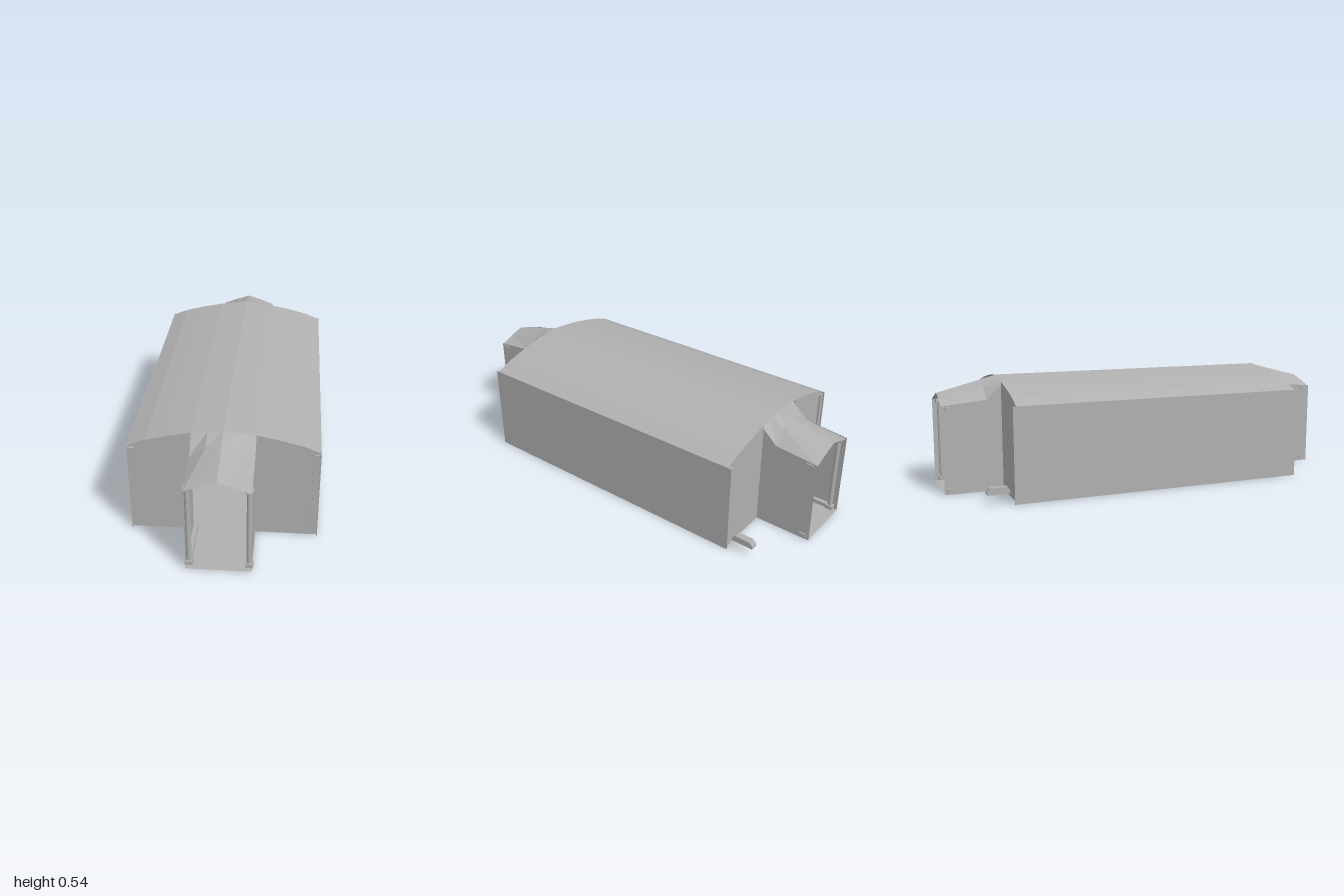
import * as THREE from 'three';

export function createModel() {
  const model = new THREE.Group();
  model.name = 'vaultedHall';
  const grey = new THREE.MeshStandardMaterial({ color: 0xb0b0b0, side: THREE.DoubleSide, flatShading: true });
  grey.name = 'stoneGrey';

  const add = (name, geometry, parent = model) => {
    const mesh = new THREE.Mesh(geometry, grey);
    mesh.name = name;
    parent.add(mesh);
    return mesh;
  };
  const box = (name, w, h, d, x, y, z, parent) =>
    add(name, new THREE.BoxGeometry(w, h, d), parent).position.set(x, y, z);

  // Skin a list of equal-length cross-sections of [x, y, z] points
  const skin = (rows) => {
    const n = rows[0].length, index = [];
    for (let r = 0; r < rows.length - 1; r++) {
      for (let i = 0; i < n - 1; i++) {
        const a = r * n + i, b = a + n;
        index.push(a, b, a + 1, a + 1, b, b + 1);
      }
    }
    const g = new THREE.BufferGeometry();
    g.setAttribute('position', new THREE.Float32BufferAttribute(rows.flat(2), 3));
    g.setIndex(index);
    const flat = g.toNonIndexed();
    flat.computeVertexNormals();
    return flat;
  };
  // Mirror a half profile (centre to eave) across x = 0
  const arch = (half, z) => [
    ...half.slice(1).reverse().map(([x, y]) => [-x, y, z]),
    ...half.map(([x, y]) => [x, y, z]),
  ];

  const halfW = 0.425, hallZ = 0.72, doorX = 0.143;
  const roofHalf = [[0, 0.54], [0.143, 0.523], [0.25, 0.501], [0.35, 0.476], [halfW, 0.445]];

  // Main hall: roof, side walls and floor
  add('hallRoof', skin([arch(roofHalf, -hallZ), arch(roofHalf, hallZ)]));
  add('floor', new THREE.PlaneGeometry(halfW * 2, hallZ * 2).rotateX(-Math.PI / 2)).position.y = 0.004;
  for (const s of [1, -1]) {
    box('sideWall', 0.004, 0.445, 1.47, s * halfW, 0.2225, 0);
  }

  // End wall beside the doorway, following the roof curve
  const endShape = new THREE.Shape();
  endShape.moveTo(doorX, 0);
  roofHalf.slice(1).forEach(([x, y]) => endShape.lineTo(x, y));
  endShape.lineTo(halfW, 0);
  endShape.closePath();
  const endWall = new THREE.ShapeGeometry(endShape);

  // Side wall of the entrance, rising to the hall roof at its inner end
  const sideShape = new THREE.Shape();
  [[0.71, 0], [1, 0], [1, 0.42], [0.79, 0.44], [0.71, 0.512]]
    .forEach(([z, y], i) => (i ? sideShape.lineTo(z, y) : sideShape.moveTo(z, y)));
  const sideGeo = new THREE.ShapeGeometry(sideShape).rotateY(-Math.PI / 2);

  const buildEnd = (name) => {
    const end = new THREE.Group();
    end.name = name;

    // Sloping entrance roof
    add('entranceRoof', skin([
      arch([[0, 0.54], [0.07, 0.528], [doorX, 0.512]], 0.71),
      arch([[0, 0.519], [0.07, 0.494], [doorX, 0.44]], 0.79),
      arch([[0, 0.465], [0.07, 0.443], [doorX, 0.415]], 1),
    ]), end);
    add('entranceFloor', new THREE.PlaneGeometry(doorX * 2, 0.28).rotateX(-Math.PI / 2), end)
      .position.set(0, 0.004, 0.86);

    for (const s of [1, -1]) {
      const wall = add('endWall', endWall, end);
      wall.position.z = hallZ;
      wall.scale.x = s;
      add('entranceWall', sideGeo, end).position.x = s * doorX;

      // Corner post
      box('cornerPost', 0.022, 0.425, 0.012, s * 0.408, 0.225, 0.724, end);

      // Column with base and capital
      add('columnShaft', new THREE.CylinderGeometry(0.012, 0.012, 0.38, 10), end)
        .position.set(s * 0.131, 0.21, 0.967);
      box('columnBase', 0.035, 0.02, 0.035, s * 0.132, 0.02, 0.967, end);
      box('columnCapital', 0.035, 0.015, 0.035, s * 0.132, 0.408, 0.967, end);

      // Low skirting along the passage
      box('skirting', 0.02, 0.02, 0.24, s * 0.131, 0.02, 0.84, end);
    }
    model.add(end);
    return end;
  };
  buildEnd('frontEntrance');
  buildEnd('backEntrance').rotation.y = Math.PI;

  // Detached low blocks with chamfered ends behind the hall
  const blockShape = new THREE.Shape();
  [[-0.053, 0.05], [0.053, 0.05], [0.053, 0.063], [0.04, 0.081], [-0.04, 0.081], [-0.053, 0.063]]
    .forEach(([z, y], i) => (i ? blockShape.lineTo(z, y) : blockShape.moveTo(z, y)));
  const blockGeo = new THREE.ExtrudeGeometry(blockShape, { depth: 0.034, bevelEnabled: false })
    .translate(0, 0, -0.017).rotateY(-Math.PI / 2);
  for (const s of [1, -1]) {
    add('lowBlock', blockGeo).position.set(s * 0.392, 0, -0.803);
  }
  return model;
}
